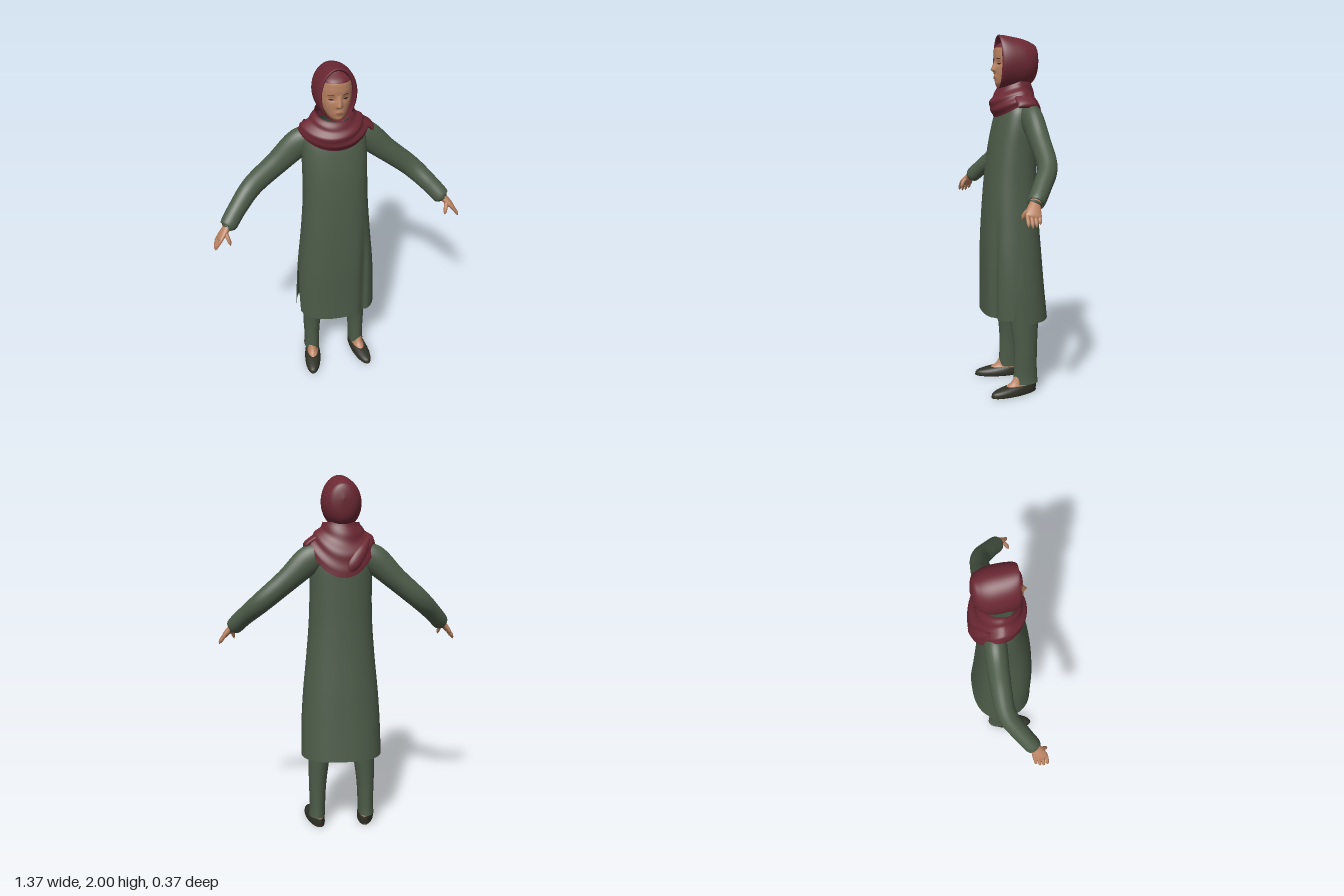
import * as THREE from 'three';
import { mergeGeometries, mergeVertices } from 'three/addons/utils/BufferGeometryUtils.js';

const mat = (name, color, side = THREE.FrontSide) => {
  const m = new THREE.MeshStandardMaterial({ color, side });
  m.name = name;
  return m;
};

// Smooth interpolation through rows of numbers, t in 0..1
function sample(rows, t) {
  const n = rows.length - 1, s = Math.min(Math.max(t, 0), 1) * n;
  const i = Math.min(Math.floor(s), n - 1), f = s - i;
  const a = rows[Math.max(i - 1, 0)], b = rows[i], c = rows[i + 1], d = rows[Math.min(i + 2, n)];
  return b.map((p, k) => {
    const m0 = (c[k] - a[k]) / 2, m1 = (d[k] - p) / 2, e = c[k] - p;
    return p + f * (m0 + f * (3 * e - 2 * m0 - m1 + f * (m0 + m1 - 2 * e)));
  });
}

// Surface from f(u, v) -> [x, y, z]; side -1 mirrors it across x
function grid(f, nu, nv, side = 1) {
  const pos = [], idx = [];
  for (let j = 0; j <= nv; j++) for (let i = 0; i <= nu; i++) {
    const p = f(side > 0 ? i / nu : 1 - i / nu, j / nv);
    pos.push(p[0] * side, p[1], p[2]);
  }
  for (let j = 0; j < nv; j++) for (let i = 0; i < nu; i++) {
    const a = j * (nu + 1) + i, b = a + 1, c = b + nu + 1, d = c - 1;
    idx.push(a, b, c, a, c, d);
  }
  const g = new THREE.BufferGeometry();
  g.setAttribute('position', new THREE.Float32BufferAttribute(pos, 3));
  g.setIndex(idx);
  return smooth(g);
}

function smooth(g) {
  g.deleteAttribute('normal');
  const m = mergeVertices(g, 1e-5);
  m.computeVertexNormals();
  return m;
}

const spow = (v, p) => Math.sign(v) * Math.abs(v) ** p;

// Upright loft; rows are [y, centre x, half width, back z, front z]
function loftY(rows, side = 1, nv = 24, skew = 0) {
  return grid((u, v) => {
    const [y, cx, rx, zb, zf] = sample(rows, v), a = u * Math.PI * 2;
    const z = (zf + zb) / 2 + Math.cos(a) * (zf - zb) / 2;
    return [cx + rx * Math.sin(a) + skew * z, y, z];
  }, 28, nv, side);
}

// Limb along a path; rows are [x, y, z, radius, radius towards z]
function limb(rows, side = 1, nu = 20, nv = 28) {
  const Z = new THREE.Vector3(0, 0, 1);
  return grid((u, v) => {
    const [x, y, z, r1, r2] = sample(rows, v);
    const p0 = sample(rows, v - 0.01), p1 = sample(rows, v + 0.01);
    const t = new THREE.Vector3(p1[0] - p0[0], p1[1] - p0[1], p1[2] - p0[2]).normalize();
    const e1 = t.clone().cross(Z).normalize(), e2 = t.clone().cross(e1);
    const a = u * Math.PI * 2;
    return new THREE.Vector3(x, y, z)
      .addScaledVector(e1, Math.max(r1, 0) * Math.cos(a))
      .addScaledVector(e2, Math.max(r2, 0) * Math.sin(a)).toArray();
  }, nu, nv, side);
}

// Tunic: front and back panels that part at the side slits
function tunicGeometry() {
  const rows = [[0.43, 0.232, -0.185, 0.18], [0.62, 0.226, -0.165, 0.178], [0.8, 0.214, -0.15, 0.178],
    [1.0, 0.194, -0.135, 0.17], [1.2, 0.178, -0.126, 0.155], [1.38, 0.173, -0.124, 0.132],
    [1.52, 0.172, -0.122, 0.102], [1.61, 0.155, -0.112, 0.075], [1.68, 0.08, -0.08, 0.05]];
  const panel = (front) => grid((u, v) => {
    let [y, rx, zb, zf] = sample(rows, v);
    const open = Math.max(0, (0.8 - y) / 0.37), gap = open * (front ? 0.32 : 0.03);
    const a = (front ? 0 : Math.PI) + (u - 0.5) * (Math.PI - 2 * gap);
    const s = spow(Math.sin(a), 0.82), c = spow(Math.cos(a), 0.82);
    const x = rx * s;
    let z = (zf + zb) / 2 + c * (zf - zb) / 2;
    if (front) {
      y += 0.025 * Math.max(0, 1 - (y - 0.43) / 0.15);
      const fall = THREE.MathUtils.smoothstep(1.2 - y, 0, 0.45);
      z -= 0.022 * fall * Math.exp(-(((x - 0.14) / 0.022) ** 2)) * Math.max(c, 0);
    }
    return [x, y, z];
  }, 48, 40);
  return smooth(mergeGeometries([panel(true), panel(false)]));
}

// Face surface at angle a and height y, pushed out by off
const faceRows = [[0.02, 0.05], [0.05, 0.092], [0.068, 0.099], [0.079, 0.1],
  [0.083, 0.099], [0.083, 0.1], [0.076, 0.09], [0.03, 0.03]];
function facePoint(a, y, off = 0) {
  const [rx, rz] = sample(faceRows, (y - 1.7) / 0.28);
  const s = Math.sin(a), c = Math.cos(a), x = rx * spow(s, 0.9);
  let z = rz * spow(c, 0.9);
  if (c > 0) {
    const bump = (cx, cy, w, h) => Math.exp(-(((Math.abs(x) - cx) / w) ** 2) - (((y - cy) / h) ** 2));
    const t = (1.868 - y) / 0.056;
    const ridge = t < 0 ? 0 : t < 1 ? t : Math.max(0, 1 - (t - 1) * 4);
    z += 0.025 * ridge * Math.exp(-((x / 0.011) ** 2)) + 0.006 * bump(0, 1.773, 0.022, 0.011)
      + 0.006 * bump(0, 1.737, 0.02, 0.012) - 0.008 * bump(0.034, 1.848, 0.018, 0.014);
  }
  return [x + off * s, y, z + off * c];
}
const faceBand = (y0, y1, off, nv) => grid((u, v) => facePoint(u * Math.PI * 2, y0 + (y1 - y0) * v, off), 72, nv);
// Thin lens-shaped patch lying on the face
const facePatch = (a0, a1, y, h, bend, side) => grid((u, v) => {
  const k = Math.sin(u * Math.PI);
  return facePoint(a0 + (a1 - a0) * u, y + bend * k + h * k * (v - 0.5), 0.0025);
}, 14, 3, side);

// Scarf wrapped around the neck, longer at the back
function scarfGeometry() {
  const rows = [[0.1, -0.1, 0.084], [0.116, -0.122, 0.106], [0.148, -0.146, 0.122],
    [0.178, -0.164, 0.122], [0.184, -0.168, 0.1]];
  return grid((u, v) => {
    const w = 1 - v, a = u * Math.PI * 2, s = Math.sin(a), c = Math.cos(a);
    const [rx, zb, zf] = sample(rows, w);
    const top = 1.75 - 0.035 * Math.max(c, 0);
    const hem = 1.635 - (c > 0 ? 0.075 : 0.175) * Math.abs(c) ** 1.5;
    const fold = 1 + 0.04 * Math.sin(w * 15 + 1.6 * s + 0.8 * c) * Math.sin(Math.PI * Math.min(1, w * 1.1));
    return [rx * s * fold, top + (hem - top) * w, ((zf + zb) / 2 + c * (zf - zb) / 2) * fold];
  }, 64, 36);
}

// Hood rings from the inner lip of the opening to the back; rows are [z, centre y, rx, ry]
function hoodGeometry() {
  const rows = [[0.03, 1.845, 0.078, 0.125], [0.07, 1.85, 0.08, 0.133], [0.083, 1.856, 0.086, 0.141],
    [0.065, 1.857, 0.099, 0.142], [0.02, 1.854, 0.107, 0.139], [-0.05, 1.848, 0.107, 0.132],
    [-0.1, 1.85, 0.09, 0.112], [-0.13, 1.86, 0.058, 0.08], [-0.142, 1.87, 0, 0]];
  return grid((u, v) => {
    const [z, cy, rx, ry] = sample(rows, v), a = u * Math.PI * 2;
    return [Math.max(rx, 0) * Math.sin(a), cy + Math.max(ry, 0) * Math.cos(a), z];
  }, 48, 48);
}

export function createModel() {
  const model = new THREE.Group();
  const green = mat('green cloth', 0x4c5b48, THREE.DoubleSide);
  const red = mat('burgundy cloth', 0x6b2833, THREE.DoubleSide);
  const skin = mat('skin', 0xb98262);
  const shoeMat = mat('dark shoe', 0x2f3025);
  const dark = mat('dark brown hair', 0x38241c, THREE.DoubleSide);
  const lip = mat('lip', 0x9c6150, THREE.DoubleSide);
  const add = (name, geo, m, parent = model) => {
    const mesh = new THREE.Mesh(geo, m);
    mesh.name = name;
    parent.add(mesh);
  };

  add('tunic', tunicGeometry(), green);
  add('face', faceBand(1.7, 1.935, 0, 64), skin);
  add('underCap', faceBand(1.93, 1.98, 0.002, 10), red);
  add('hood', hoodGeometry(), red);
  add('scarf', scarfGeometry(), red);
  // Loose end on the left shoulder and a diagonal fold behind
  add('scarfEnd', limb([[0.08, 1.695, -0.01, 0.015, 0.045], [0.14, 1.665, -0.015, 0.018, 0.05],
    [0.185, 1.635, -0.02, 0.018, 0.052], [0.197, 1.618, -0.022, 0.012, 0.05], [0.199, 1.612, -0.022, 0, 0]]), red);
  add('scarfBackFold', limb([[-0.14, 1.655, -0.06, 0.012, 0.02], [-0.1, 1.6, -0.125, 0.03, 0.018],
    [-0.05, 1.53, -0.155, 0.032, 0.016], [-0.01, 1.475, -0.158, 0, 0]]), red);
  add('lips', facePatch(-0.27, 0.27, 1.773, 0.015, 0, 1), lip);

  for (const side of [1, -1]) {
    const label = side > 0 ? 'left' : 'right';
    add(label + 'Eye', facePatch(0.22, 0.62, 1.848, 0.009, -0.004, side), dark);
    add(label + 'Brow', facePatch(0.17, 0.68, 1.868, 0.004, 0.005, side), dark);

    add(label + 'Sleeve', limb([[0.09, 1.575, -0.045, 0.062, 0.055], [0.175, 1.55, -0.052, 0.078, 0.058],
      [0.3, 1.44, -0.053, 0.064, 0.055], [0.44, 1.322, -0.042, 0.057, 0.051], [0.535, 1.235, 0.022, 0.05, 0.047],
      [0.594, 1.173, 0.073, 0.046, 0.043], [0.6, 1.167, 0.078, 0.026, 0.026]], side, 28, 48), green);

    // Hand with four drooping fingers and a thumb
    const hand = new THREE.Group();
    hand.name = label + 'Hand';
    model.add(hand);
    add('palm', limb([[0.575, 1.195, 0.06, 0.022, 0.026], [0.61, 1.16, 0.086, 0.02, 0.03],
      [0.637, 1.132, 0.1, 0.017, 0.038], [0.653, 1.112, 0.106, 0.012, 0.038], [0.659, 1.104, 0.108, 0, 0]], side), skin, hand);
    for (let k = 0; k < 4; k++) {
      const z = 0.076 + k * 0.02, len = [0.75, 0.95, 1, 0.92][k];
      add('finger', limb([[0.642, 1.124, z, 0.008, 0.009], [0.642 + 0.024 * len, 1.124 - 0.028 * len, z + 0.002, 0.0095, 0.0095],
        [0.642 + 0.036 * len, 1.124 - 0.048 * len, z + 0.003, 0.008, 0.008],
        [0.642 + 0.042 * len, 1.124 - 0.062 * len, z + 0.004, 0, 0]], side, 10, 12), skin, hand);
    }
    add('thumb', limb([[0.618, 1.155, 0.104, 0.012, 0.012], [0.607, 1.128, 0.131, 0.011, 0.011],
      [0.601, 1.105, 0.142, 0.009, 0.009], [0.598, 1.088, 0.146, 0, 0]], side, 10, 12), skin, hand);

    add(label + 'TrouserLeg', loftY([[0.06, 0.145, 0.047, -0.105, 0.038], [0.12, 0.142, 0.045, -0.1, 0.036],
      [0.26, 0.14, 0.051, -0.1, 0.035], [0.44, 0.128, 0.064, -0.11, 0.055],
      [0.65, 0.11, 0.085, -0.115, 0.078], [0.88, 0.09, 0.092, -0.11, 0.085]], side), green);
    add(label + 'Foot', loftY([[0.03, 0.145, 0.036, -0.088, 0.1], [0.05, 0.145, 0.036, -0.09, 0.09],
      [0.07, 0.145, 0.034, -0.085, 0.055], [0.13, 0.145, 0.033, -0.075, 0.02]], side, 12, 0.14), skin);
    add(label + 'Shoe', loftY([[0.002, 0.147, 0, 0.03, 0.031], [0, 0.147, 0.043, -0.088, 0.165],
      [0.014, 0.147, 0.05, -0.098, 0.178], [0.034, 0.147, 0.047, -0.1, 0.162],
      [0.052, 0.147, 0.038, -0.098, 0.088], [0.046, 0.147, 0.032, -0.088, 0.078]], side, 20, 0.16), shoeMat);
  }
  return model;
}
